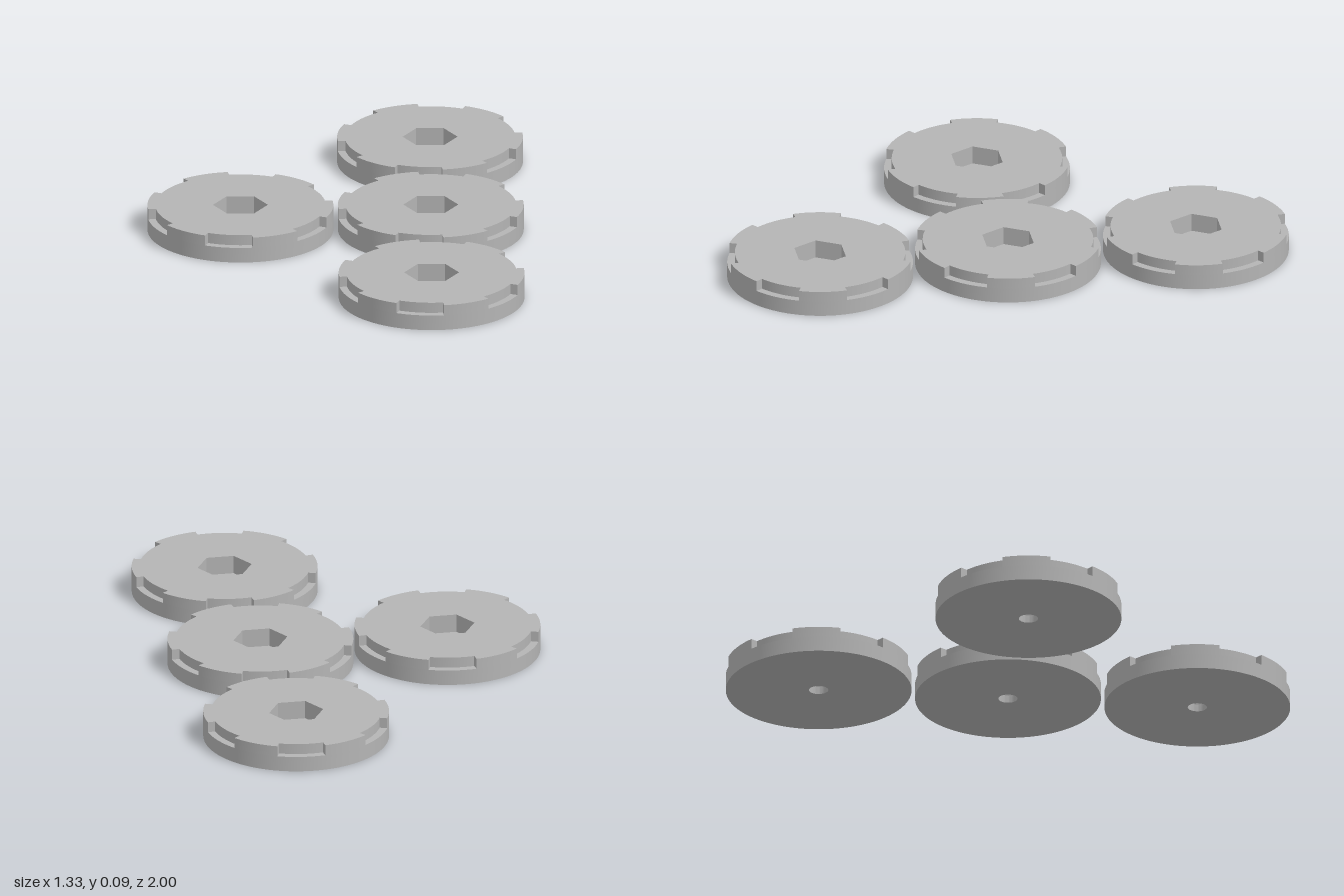
import * as THREE from 'three';
import { mergeGeometries, toCreasedNormals } from 'three/addons/utils/BufferGeometryUtils.js';

const R = 0.328, NOTCH_R = 0.301, HEX_R = 0.097, HOLE_R = 0.034;
const TOP = 0.093, LEDGE = 0.055, POCKET = 0.027;
const NOTCHES = 6, START = 7.5, SPAN = 30;

// Points along an arc, counter-clockwise in plan, angles in degrees
function arc(r, from, to, steps) {
  return Array.from({ length: steps + 1 }, (_, i) => {
    const a = THREE.MathUtils.degToRad(from + ((to - from) * i) / steps);
    return new THREE.Vector2(r * Math.cos(a), r * Math.sin(a));
  });
}
const ring = (r, n, from = 0) => arc(r, from, from + 360, n).slice(0, -1);

// Horizontal face at height y, optionally with a hole, facing up or down
function face(outline, y, hole, down = false) {
  const shape = new THREE.Shape(outline);
  if (hole) shape.holes.push(new THREE.Path(hole));
  const g = new THREE.ShapeGeometry(shape).toNonIndexed();
  g.deleteAttribute('uv');
  if (down) {
    // Mirror the plan so that the flipped face keeps its outline
    g.scale(1, -1, 1);
    const p = g.attributes.position;
    for (let i = 0; i < p.count; i += 3) {
      const a = new THREE.Vector3().fromBufferAttribute(p, i + 1);
      const b = new THREE.Vector3().fromBufferAttribute(p, i + 2);
      p.setXYZ(i + 1, b.x, b.y, b.z);
      p.setXYZ(i + 2, a.x, a.y, a.z);
    }
    // Restore the winding for a downward turn
    g.rotateX(Math.PI / 2);
  } else {
    g.rotateX(-Math.PI / 2);
  }
  g.translate(0, y, 0);
  g.computeVertexNormals();
  return g;
}

// Vertical wall along a closed outline; inward turns it towards the axis
function wall(outline, y0, y1, inward = false) {
  const pts = inward ? [...outline].reverse() : outline;
  const pos = [];
  pts.forEach((a, i) => {
    const b = pts[(i + 1) % pts.length];
    pos.push(a.x, y0, -a.y, b.x, y0, -b.y, b.x, y1, -b.y);
    pos.push(a.x, y0, -a.y, b.x, y1, -b.y, a.x, y1, -a.y);
  });
  const g = new THREE.BufferGeometry();
  g.setAttribute('position', new THREE.Float32BufferAttribute(pos, 3));
  g.computeVertexNormals();
  return toCreasedNormals(g, 0.5);
}

function discGeometry() {
  const rim = ring(R, 144, START);
  const hex = ring(HEX_R, 6);
  const hole = ring(HOLE_R, 40);

  // Upper outline: notch arc, then full-radius tooth, repeated round the rim
  const toothed = [];
  const ledges = [];
  for (let i = 0; i < NOTCHES; i++) {
    const a = START + (i * 360) / NOTCHES;
    const end = a + SPAN;
    const inner = arc(NOTCH_R, a, end, 12);
    toothed.push(...inner, ...arc(R, end, a + 360 / NOTCHES, 12));
    ledges.push(face([...arc(R, a, end, 12), ...inner.reverse()], LEDGE));
  }

  return mergeGeometries([
    face(rim, 0, hole, true),
    wall(rim, 0, LEDGE),
    ...ledges,
    wall(toothed, LEDGE, TOP),
    face(toothed, TOP, hex),
    // Hexagonal pocket and the bore below it
    wall(hex, POCKET, TOP, true),
    face(hex, POCKET, hole),
    wall(hole, 0, POCKET, true),
  ]);
}

export function createModel() {
  const group = new THREE.Group();
  group.name = 'notchedDiscs';
  const grey = new THREE.MeshStandardMaterial({ color: 0xb4b4b4 });
  grey.name = 'grey';
  const geometry = discGeometry();

  // Three discs in a row and one beside the middle
  const places = {
    backDisc: [0.336, -0.672],
    middleDisc: [0.336, 0],
    frontDisc: [0.336, 0.672],
    sideDisc: [-0.336, 0],
  };
  for (const [name, [x, z]] of Object.entries(places)) {
    const disc = new THREE.Mesh(geometry, grey);
    disc.name = name;
    disc.position.set(x, 0, z);
    group.add(disc);
  }
  return group;
}
